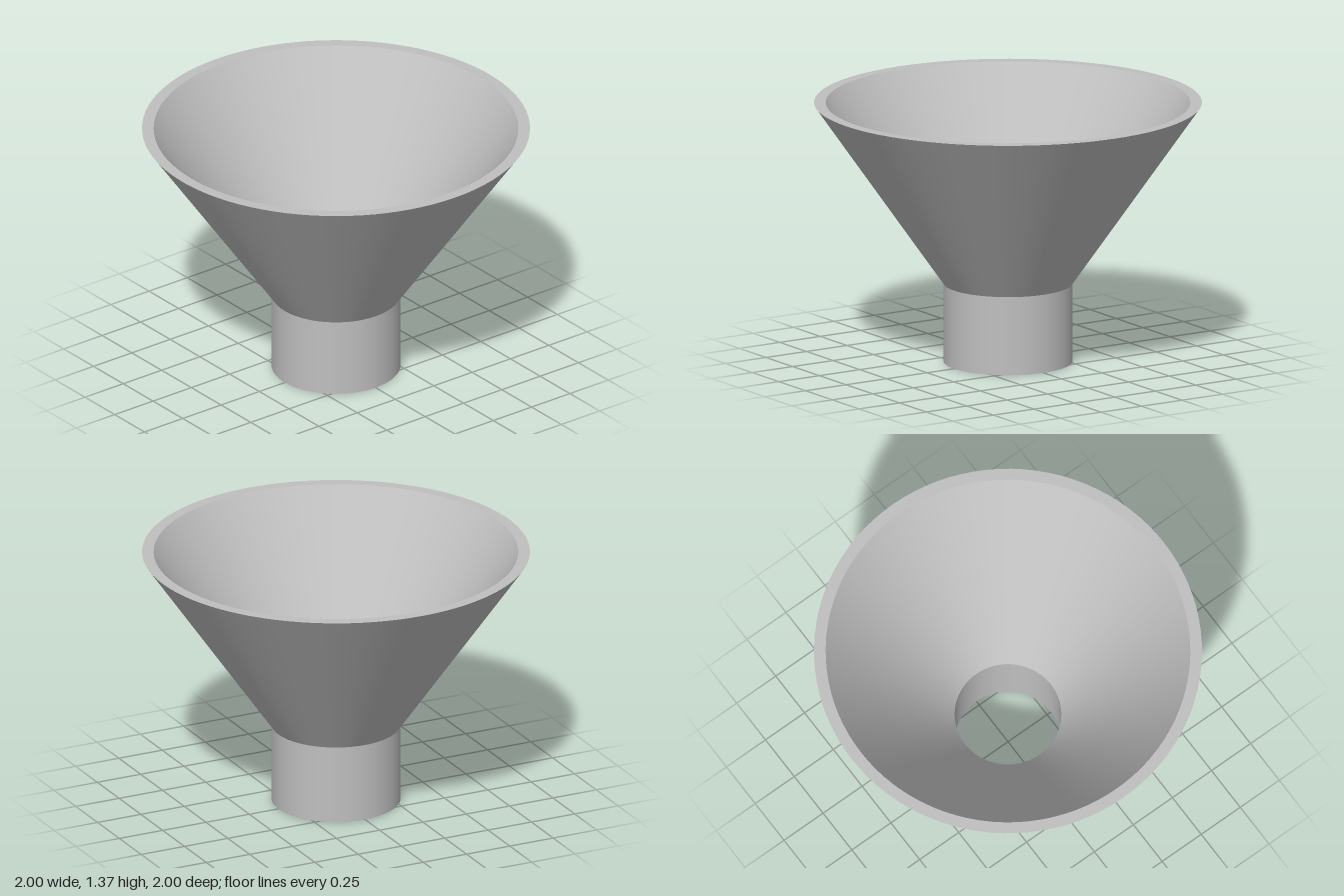
import * as THREE from 'three';

export function createModel() {
  const group = new THREE.Group();
  group.name = 'funnel';
  const grey = new THREE.MeshStandardMaterial({ color: 0xbfbfbf });
  grey.name = 'light grey';

  // Each band is its own lathe, so the edges between bands stay sharp
  const band = (name, from, to) => {
    const points = [new THREE.Vector2(...from), new THREE.Vector2(...to)];
    const mesh = new THREE.Mesh(new THREE.LatheGeometry(points, 96), grey);
    mesh.name = name;
    group.add(mesh);
  };

  // Closed wall profile [radius, height]: up the outside, down the inside
  const neckY = 0.413, topY = 1.367;
  const outerNeck = 0.333, innerNeck = 0.275, outerRim = 1, innerRim = 0.94;
  band('spoutOuter', [outerNeck, 0], [outerNeck, neckY]);
  band('coneOuter', [outerNeck, neckY], [outerRim, topY]);
  band('rim', [outerRim, topY], [innerRim, topY]);
  band('coneInner', [innerRim, topY], [innerNeck, neckY]);
  band('spoutInner', [innerNeck, neckY], [innerNeck, 0]);
  band('spoutEnd', [innerNeck, 0], [outerNeck, 0]);

  return group;
}
